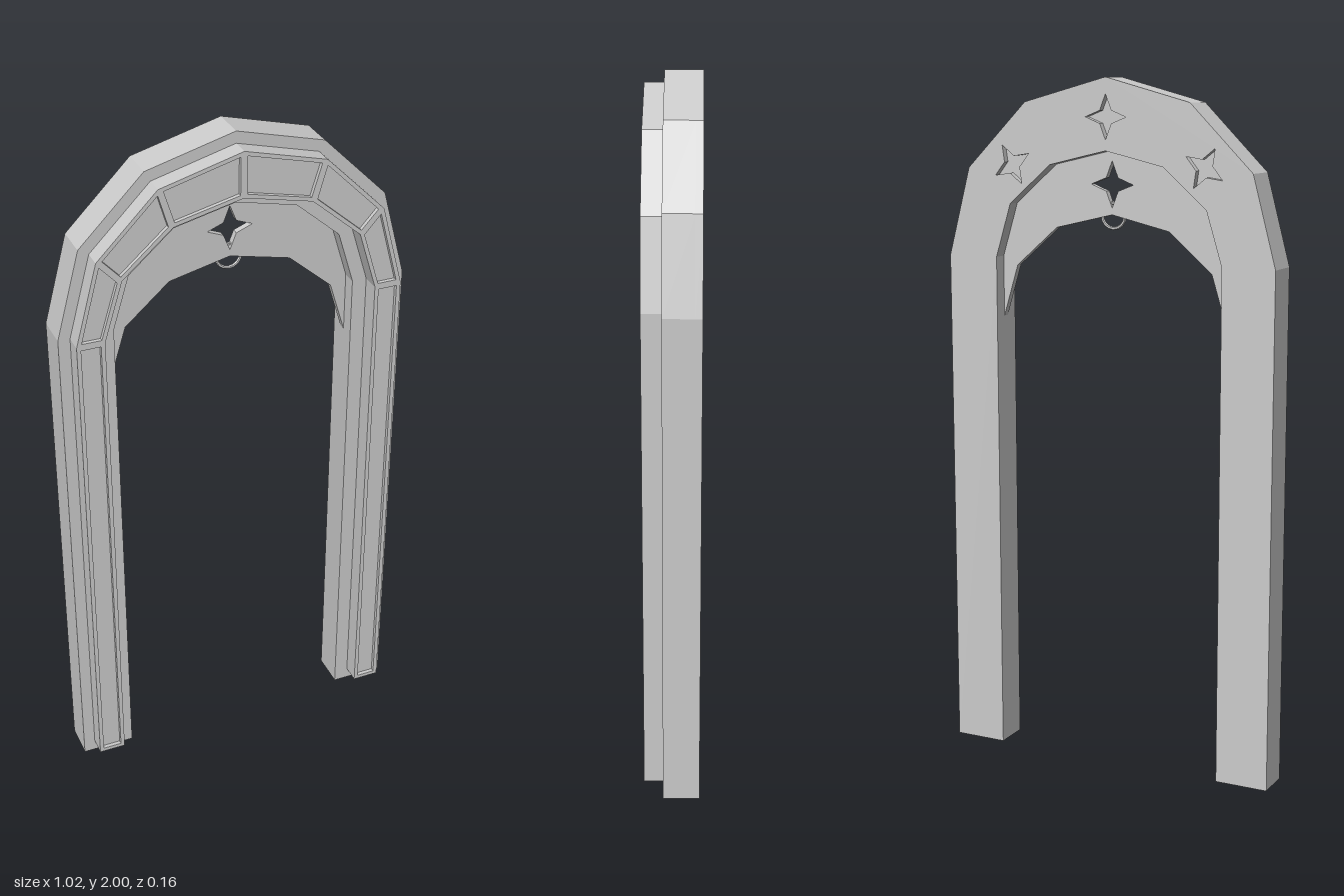
import * as THREE from 'three';

const SPRING = 1.49; // height where the legs meet the arch

// Seven points of a six-sided half ellipse, from +x over the top to -x
function arc(rx, ry, cy = SPRING) {
  return Array.from({ length: 7 }, (_, i) => {
    const a = (i * Math.PI) / 6;
    return new THREE.Vector2(rx * Math.cos(a), cy + ry * Math.sin(a));
  });
}

// Outline of a horseshoe band standing on y = base
function archShape(outer, innerX, innerY, base) {
  return new THREE.Shape([
    new THREE.Vector2(outer, base),
    ...arc(outer, outer),
    new THREE.Vector2(-outer, base),
    new THREE.Vector2(-innerX, base),
    ...arc(innerX, innerY).reverse(),
    new THREE.Vector2(innerX, base),
  ]);
}

// Four-pointed star outline
function star(x, y, r, turn = 0) {
  return new THREE.Path(Array.from({ length: 8 }, (_, i) => {
    const a = turn + (i * Math.PI) / 4;
    const d = i % 2 ? r * 0.4 : r;
    return new THREE.Vector2(x + d * Math.cos(a), y + d * Math.sin(a));
  }));
}

export function createModel() {
  const model = new THREE.Group();
  model.name = 'archway';
  const material = new THREE.MeshStandardMaterial({ color: 0xcccccc, flatShading: true });

  function slab(name, shape, z0, z1) {
    const geometry = new THREE.ExtrudeGeometry(shape, { depth: z1 - z0, bevelEnabled: false });
    geometry.translate(0, 0, z0);
    const mesh = new THREE.Mesh(geometry, material);
    mesh.name = name;
    model.add(mesh);
  }

  // Main arch, with three star recesses in its back layer
  const backLayer = archShape(0.512, 0.355, 0.31, 0);
  backLayer.holes.push(
    star(0, 1.893, 0.063),
    star(0.3, 1.757, 0.063, -Math.PI / 6),
    star(-0.3, 1.757, 0.063, Math.PI / 6),
  );
  slab('archBack', backLayer, -0.08, -0.06);
  slab('archBody', archShape(0.512, 0.355, 0.31, 0), -0.06, 0.025);

  // Raised front band
  slab('frontBand', archShape(0.478, 0.398, 0.346, 0.035), 0.025, 0.068);

  // Frame on the band: one sunk panel per arch segment and one per leg
  const frame = archShape(0.478, 0.398, 0.346, 0.035);
  const outer = arc(0.466, 0.466);
  const inner = arc(0.41, 0.358);
  for (let i = 0; i < 6; i++) {
    const at = (pts, t) => pts[i].clone().lerp(pts[i + 1], t);
    frame.holes.push(new THREE.Path([
      at(outer, 0.04), at(outer, 0.96), at(inner, 0.95), at(inner, 0.05),
    ]));
  }
  for (const s of [-1, 1]) {
    frame.holes.push(new THREE.Path([
      new THREE.Vector2(s * 0.41, 0.047), new THREE.Vector2(s * 0.466, 0.047),
      new THREE.Vector2(s * 0.466, 1.48), new THREE.Vector2(s * 0.41, 1.48),
    ]));
  }
  slab('panelFrame', frame, 0.068, 0.08);

  // Thin web under the arch, pierced by a star
  const web = new THREE.Shape([
    ...arc(0.36, 0.315),
    ...arc(0.356, 0.31, 1.31).reverse(),
  ]);
  web.holes.push(star(0, 1.705, 0.066));
  slab('web', web, -0.038, -0.018);

  // Small ring hanging from the web
  const ring = new THREE.Mesh(new THREE.TorusGeometry(0.036, 0.005, 6, 16), material);
  ring.name = 'hangingRing';
  ring.position.set(0, 1.617, -0.028);
  model.add(ring);

  return model;
}
